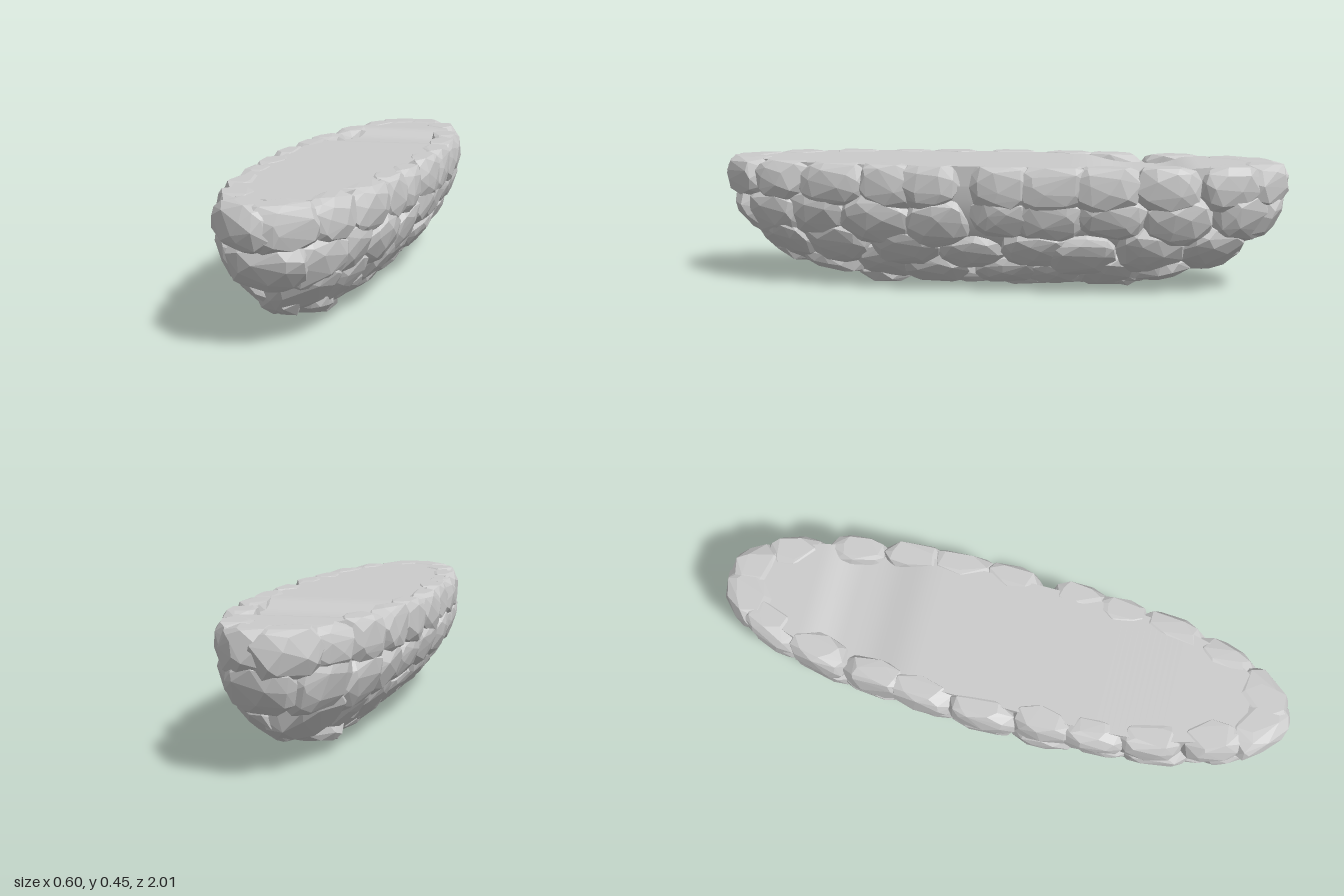
import * as THREE from 'three';
import { ConvexGeometry } from 'three/addons/geometries/ConvexGeometry.js';
import { toCreasedNormals } from 'three/addons/utils/BufferGeometryUtils.js';

const TOP = 0.45, RIM = 0.382, WIDTH = 0.286, DEPTH = 0.378, LENGTH = 0.99;
const V = (x, y, z) => new THREE.Vector3(x, y, z);

let seed = 11;
function rand(min, max) {
  seed = (seed * 16807) % 2147483647;
  return min + (max - min) * (seed / 2147483647);
}

// Boat-shaped hull: a blunt oval for each angle below the rim
function ring(angle) {
  const c = Math.max(Math.cos(angle), 0.001);
  const blunt = (v) => Math.sign(v) * Math.abs(v) ** 0.88;
  const points = [];
  for (let i = 0; i <= 64; i++) {
    const a = (i / 64) * Math.PI * 2;
    points.push(new THREE.Vector2(WIDTH * c ** 1.45 * blunt(Math.cos(a)), LENGTH * c ** 0.65 * blunt(Math.sin(a))));
  }
  return new THREE.SplineCurve(points);
}
function hullPoint(angle, u) {
  const p = ring(angle).getPointAt(((u % 1) + 1) % 1);
  return V(p.x, RIM - DEPTH * Math.sin(angle), p.y);
}

// Chipped boulder: hull of jittered points on a boxy ellipsoid, cut level at the top
function boulder(center, t, b, n, half) {
  const count = 44, points = [];
  for (let i = 0; i < count; i++) {
    const y = 1 - 2 * (i + 0.5) / count, r = Math.sqrt(1 - y * y);
    const a = i * 2.39996 + rand(-0.3, 0.3);
    const d = [r * Math.cos(a), y, r * Math.sin(a)]
      .map((v, k) => Math.sign(v) * Math.abs(v) ** 0.8 * half[k] * rand(0.96, 1.04));
    const p = center.clone().addScaledVector(t, d[0]).addScaledVector(b, d[1]).addScaledVector(n, d[2]);
    p.y = THREE.MathUtils.clamp(p.y, 0, TOP);
    points.push(p);
  }
  return new ConvexGeometry(points);
}

export function createModel() {
  const group = new THREE.Group();
  const stoneMat = new THREE.MeshStandardMaterial({ color: 0xcccccc, flatShading: true });
  const smoothMat = new THREE.MeshStandardMaterial({ color: 0xcccccc, side: THREE.DoubleSide });

  // Rows of stones, from the rim down
  const rows = [
    { name: 'rimStones', angle: 0, count: 22, offset: 0 },
    { name: 'upperStones', angle: 0.36, count: 20, offset: 0 },
    { name: 'lowerStones', angle: 0.74, count: 16, offset: 0.5 },
    { name: 'bottomStones', angle: 1.12, count: 12, offset: 0 },
  ];
  rows.forEach(({ name, angle, count, offset }) => {
    const row = new THREE.Group();
    row.name = name;
    const spacing = ring(angle).getLength() / count;
    for (let i = 0; i < count; i++) {
      const u = (i + offset + rand(-0.15, 0.15)) / count;
      const a = angle + (angle ? rand(-0.06, 0.06) : 0);
      const p = hullPoint(a, u);
      const t = hullPoint(a, u + 0.015).sub(hullPoint(a, u - 0.015)).normalize();
      const across = hullPoint(a - 0.18, u).sub(hullPoint(a + 0.18, u));
      const rowHeight = Math.min(across.length(), 0.2);
      // Outward direction and the direction across the row
      const n = V(0, 0, 0).crossVectors(t, across).normalize();
      if (n.x * p.x + n.z * p.z < 0) n.negate();
      const b = V(0, 0, 0).crossVectors(n, t);
      const thick = 0.052 + 0.048 * Math.abs(n.z);
      // Small roll so that the joints do not line up
      const roll = rand(-0.22, 0.22);
      t.applyAxisAngle(n, roll);
      b.applyAxisAngle(n, roll);
      const center = p.addScaledVector(n, -thick + rand(0.004, 0.018));
      const half = [spacing * rand(0.55, 0.68), rowHeight * rand(0.58, 0.7), thick];
      const stone = new THREE.Mesh(boulder(center, t, b, n, half), stoneMat);
      stone.name = 'stone';
      row.add(stone);
    }
    group.add(row);
  });

  // Stones along the keel
  const keel = new THREE.Group();
  keel.name = 'keelStones';
  for (let i = 0; i < 6; i++) {
    const z = -0.42 + i * 0.168;
    const center = V(rand(-0.02, 0.02), 0.053 + 0.08 * z * z, z);
    const stone = new THREE.Mesh(
      boulder(center, V(0, 0, 1), V(1, 0, 0), V(0, -1, 0), [0.12, 0.075, 0.052]), stoneMat);
    stone.name = 'stone';
    keel.add(stone);
  }
  group.add(keel);

  // Core filling the joints between the stones
  const coreGeo = new THREE.SphereGeometry(1, 40, 12, 0, Math.PI * 2, Math.PI / 2, Math.PI / 2);
  const cp = coreGeo.attributes.position;
  for (let i = 0; i < cp.count; i++) {
    const c = Math.max(Math.hypot(cp.getX(i), cp.getZ(i)), 0.001);
    cp.setXYZ(i, cp.getX(i) * c ** 0.45 * WIDTH * 0.9, RIM + cp.getY(i) * DEPTH * 0.9,
      cp.getZ(i) * c ** -0.35 * LENGTH * 0.92);
  }
  coreGeo.computeVertexNormals();
  const core = new THREE.Mesh(coreGeo, smoothMat);
  core.name = 'core';
  group.add(core);

  // Level deck with a shallow slanting hollow towards the back and short side walls
  const hollow = (z) => 0.026 * THREE.MathUtils.smoothstep(-z, 0.28, 0.46)
    * (1 - THREE.MathUtils.smoothstep(-z, 0.56, 0.66));
  const deckGeo = new THREE.PlaneGeometry(1, 1.72, 3, 86);
  const dp = deckGeo.attributes.position;
  for (let i = 0; i < dp.count; i++) {
    const col = i % 4, z = -dp.getY(i);
    const w = 0.232 * Math.sqrt(Math.max(0, 1 - Math.abs(z / 0.9) ** 3.5));
    const x = col < 2 ? -w : w;
    const wall = col === 0 || col === 3;
    dp.setXYZ(i, x, wall ? RIM - 0.03 : TOP - 0.003 - hollow(z + 0.12 * x), z);
  }
  const deck = new THREE.Mesh(toCreasedNormals(deckGeo, 0.7), smoothMat);
  deck.name = 'deck';
  group.add(deck);
  return group;
}
